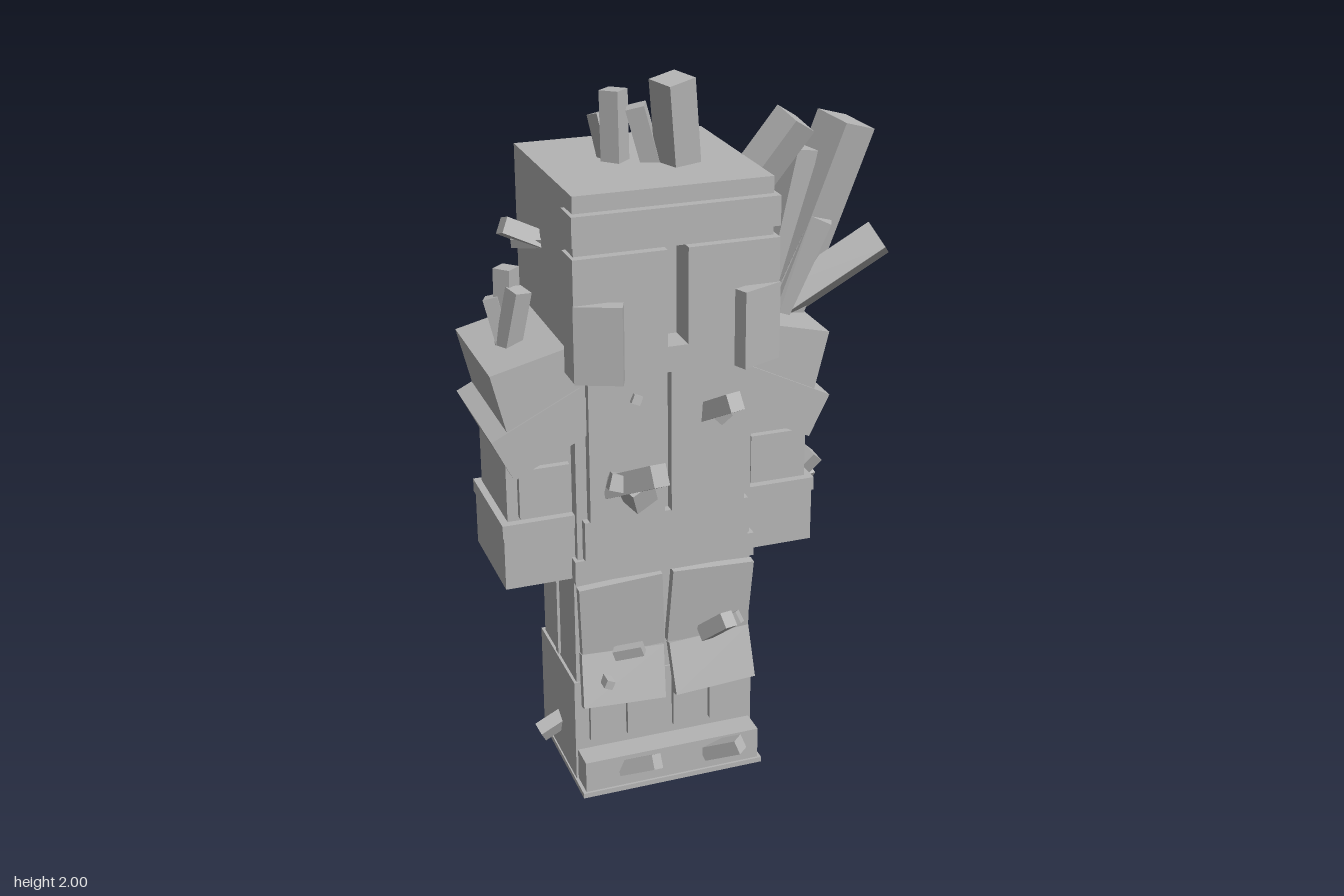
import * as THREE from 'three';

export function createModel() {
  const model = new THREE.Group();
  model.name = 'armouredFigure';
  const stone = new THREE.MeshStandardMaterial({ color: 0xb4b4b4, flatShading: true });
  stone.name = 'stone grey';
  const CX = -0.115; // the body's own middle plane

  const add = (name, geometry, parent = model) => {
    const mesh = new THREE.Mesh(geometry, stone);
    mesh.name = name;
    parent.add(mesh);
    return mesh;
  };
  // Box from its limits; x is measured from the middle plane
  const box = (name, x0, x1, y0, y1, z0, z1) => {
    const m = add(name, new THREE.BoxGeometry(x1 - x0, y1 - y0, z1 - z0));
    m.position.set(CX + (x0 + x1) / 2, (y0 + y1) / 2, (z0 + z1) / 2);
    return m;
  };
  // The same box on both sides of the middle plane
  const pair = (name, x0, x1, ...rest) => [
    box(name + 'Left', x0, x1, ...rest),
    box(name + 'Right', -x1, -x0, ...rest),
  ];
  // Tilted box on both sides, turned by mirrored angles
  const tilted = (name, [x, y, z], [w, h, d], [rx, ry, rz]) => {
    for (const s of [1, -1]) {
      const m = add(name + (s > 0 ? 'Left' : 'Right'), new THREE.BoxGeometry(w, h, d));
      m.position.set(CX + s * x, y, z);
      m.rotation.set(rx, s * ry, s * rz);
    }
  };

  // Head with a deep T-shaped visor slot
  box('head', -0.268, 0.268, 1.28, 1.765, -0.265, 0.2);
  box('headTop', -0.268, 0.268, 1.72, 1.765, 0.2, 0.265);
  box('visorBack', -0.268, 0.268, 1.61, 1.64, 0.2, 0.265);
  box('browBand', -0.278, 0.278, 1.64, 1.72, 0.2, 0.29);
  pair('facePlate', 0.028, 0.278, 1.35, 1.61, 0.2, 0.29);
  box('chinPlate', -0.278, 0.278, 1.28, 1.35, 0.2, 0.29);
  box('neckGuard', -0.265, 0.265, 1.22, 1.3, -0.29, -0.1);
  tilted('cheekGuard', [0.215, 1.385, 0.298], [0.125, 0.21, 0.04], [0, 0.4, 0]);

  // Torso
  box('torso', -0.25, 0.25, 0.7, 1.28, -0.165, 0.18);
  pair('chestPlate', 0.01, 0.22, 0.84, 1.28, 0.18, 0.21);
  box('backPlate', -0.215, 0.215, 0.8, 1.2, -0.182, -0.165);
  box('bellyPlate', -0.235, 0.235, 0.725, 0.84, 0.18, 0.205);
  box('belt', -0.26, 0.26, 0.65, 0.72, -0.178, 0.19);

  // Arms and layered shoulder pads
  pair('upperArm', 0.22, 0.43, 0.84, 1.12, -0.135, 0.14);
  pair('armPlateFront', 0.26, 0.4, 0.86, 1.0, 0.14, 0.16);
  pair('armPlateBack', 0.26, 0.4, 0.86, 1.0, -0.155, -0.135);
  pair('gauntlet', 0.25, 0.446, 0.655, 0.82, -0.148, 0.158);
  pair('gauntletRim', 0.25, 0.45, 0.81, 0.848, -0.155, 0.163);
  tilted('shoulderPad', [0.294, 1.232, 0.002], [0.32, 0.195, 0.365], [0, 0, -0.24]);
  tilted('lowerShoulderPad', [0.327, 1.108, 0.002], [0.27, 0.13, 0.376], [0, 0, -0.46]);

  // Legs and boots
  box('thighs', -0.258, 0.258, 0.33, 0.66, -0.146, 0.165);
  pair('sideStrip', 0.258, 0.266, 0.34, 0.645, -0.01, 0.016);
  pair('backThighPlate', 0.012, 0.22, 0.38, 0.505, -0.158, -0.146);
  box('shins', -0.266, 0.266, 0.015, 0.33, -0.16, 0.17);
  for (const x of [0.023, 0.133]) pair('shinPlate', x, x + 0.092, 0.14, 0.3, 0.17, 0.185);
  box('toes', -0.26, 0.26, 0.015, 0.11, 0.17, 0.245);
  box('sole', -0.27, 0.27, 0, 0.015, -0.163, 0.252);
  tilted('tasset', [0.13, 0.53, 0.184], [0.24, 0.23, 0.025], [0.08, 0, -0.05]);
  tilted('kneePlate', [0.132, 0.345, 0.198], [0.24, 0.155, 0.025], [-0.25, 0, 0.05]);

  // Crystals: square prisms from a base to a tip
  const up = new THREE.Vector3(0, 1, 0);
  const crystals = (name, list) => {
    const group = new THREE.Group();
    group.name = name;
    model.add(group);
    list.forEach(([a, b, t], i) => {
      const base = new THREE.Vector3(...a), tip = new THREE.Vector3(...b);
      const dir = tip.clone().sub(base);
      const m = add('crystal' + (i + 1), new THREE.BoxGeometry(t, dir.length(), t), group);
      m.position.copy(base).add(tip).multiplyScalar(0.5);
      m.quaternion.setFromUnitVectors(up, dir.normalize());
      m.rotateY(0.35 + 0.4 * (i % 3));
    });
  };
  crystals('leftShoulderCrystals', [
    [[0.27, 1.28, -0.01], [0.465, 1.825, 0.015], 0.115],
    [[0.26, 1.3, 0], [0.55, 1.5, 0.07], 0.085],
    [[0.28, 1.28, -0.03], [0.45, 1.67, -0.1], 0.09],
    [[0.23, 1.3, 0.01], [0.33, 1.76, 0.01], 0.075],
    [[0.26, 1.3, -0.03], [0.38, 1.5, -0.1], 0.06],
    [[0.27, 1.3, 0.03], [0.38, 1.57, 0.06], 0.06],
  ]);
  crystals('headSideCrystals', [
    [[0.1, 1.6, 0.05], [0.285, 1.86, 0.09], 0.085],
    [[0.1, 1.65, -0.06], [0.27, 1.69, -0.06], 0.05],
    [[0.1, 1.56, -0.04], [0.24, 1.62, -0.05], 0.05],
    [[-0.36, 1.55, -0.05], [-0.48, 1.61, -0.05], 0.045],
    [[-0.36, 1.56, -0.03], [-0.45, 1.56, -0.07], 0.03],
  ]);
  crystals('headTopCrystals', [
    [[-0.025, 1.72, 0.05], [-0.055, 1.99, 0.08], 0.085],
    [[-0.18, 1.72, -0.01], [-0.18, 1.95, -0.02], 0.055],
    [[-0.08, 1.72, 0.02], [-0.13, 1.91, 0.01], 0.05],
    [[-0.18, 1.72, -0.03], [-0.205, 1.88, -0.07], 0.045],
  ]);
  crystals('rightShoulderCrystals', [
    [[-0.5, 1.27, 0.02], [-0.465, 1.46, 0.04], 0.05],
    [[-0.49, 1.27, 0], [-0.485, 1.51, -0.005], 0.05],
    [[-0.49, 1.27, 0.01], [-0.525, 1.43, -0.015], 0.04],
  ]);
  crystals('backCrystals', [
    [[-0.22, 1.22, -0.23], [-0.255, 1.35, -0.31], 0.08],
    [[-0.12, 0.98, -0.15], [-0.15, 1.13, -0.3], 0.065],
    [[-0.05, 1.08, -0.15], [0.015, 1.14, -0.3], 0.045],
    [[-0.05, 1.08, -0.15], [-0.02, 1.14, -0.24], 0.035],
    [[-0.2, 0.78, -0.15], [-0.2, 0.89, -0.27], 0.065],
  ]);
  crystals('chestCrystals', [
    [[-0.27, 0.93, 0.19], [-0.18, 1.01, 0.33], 0.06],
    [[-0.23, 0.94, 0.19], [-0.2, 0.92, 0.27], 0.07],
    [[-0.26, 0.95, 0.19], [-0.27, 0.97, 0.26], 0.045],
    [[0, 1.11, 0.19], [0.045, 1.17, 0.29], 0.05],
    [[0.03, 1.12, 0.19], [0.03, 1.11, 0.24], 0.04],
    [[-0.205, 1.18, 0.19], [-0.205, 1.185, 0.225], 0.025],
  ]);
  crystals('limbCrystals', [
    [[0.31, 0.76, 0], [0.4, 0.85, 0.01], 0.05],
    [[0.31, 0.78, 0.01], [0.4, 0.78, -0.01], 0.04],
    [[-0.27, 0.42, 0.2], [-0.2, 0.445, 0.24], 0.03],
    [[0, 0.43, 0.19], [0.045, 0.5, 0.26], 0.045],
    [[0.01, 0.43, 0.19], [0.09, 0.485, 0.23], 0.035],
    [[-0.3, 0.35, 0.2], [-0.3, 0.35, 0.245], 0.025],
    [[-0.26, 0.06, 0.23], [-0.185, 0.115, 0.31], 0.042],
    [[-0.01, 0.06, 0.23], [0.065, 0.115, 0.31], 0.042],
    [[-0.36, 0.125, 0.01], [-0.44, 0.085, 0.01], 0.042],
  ]);
  return model;
}
